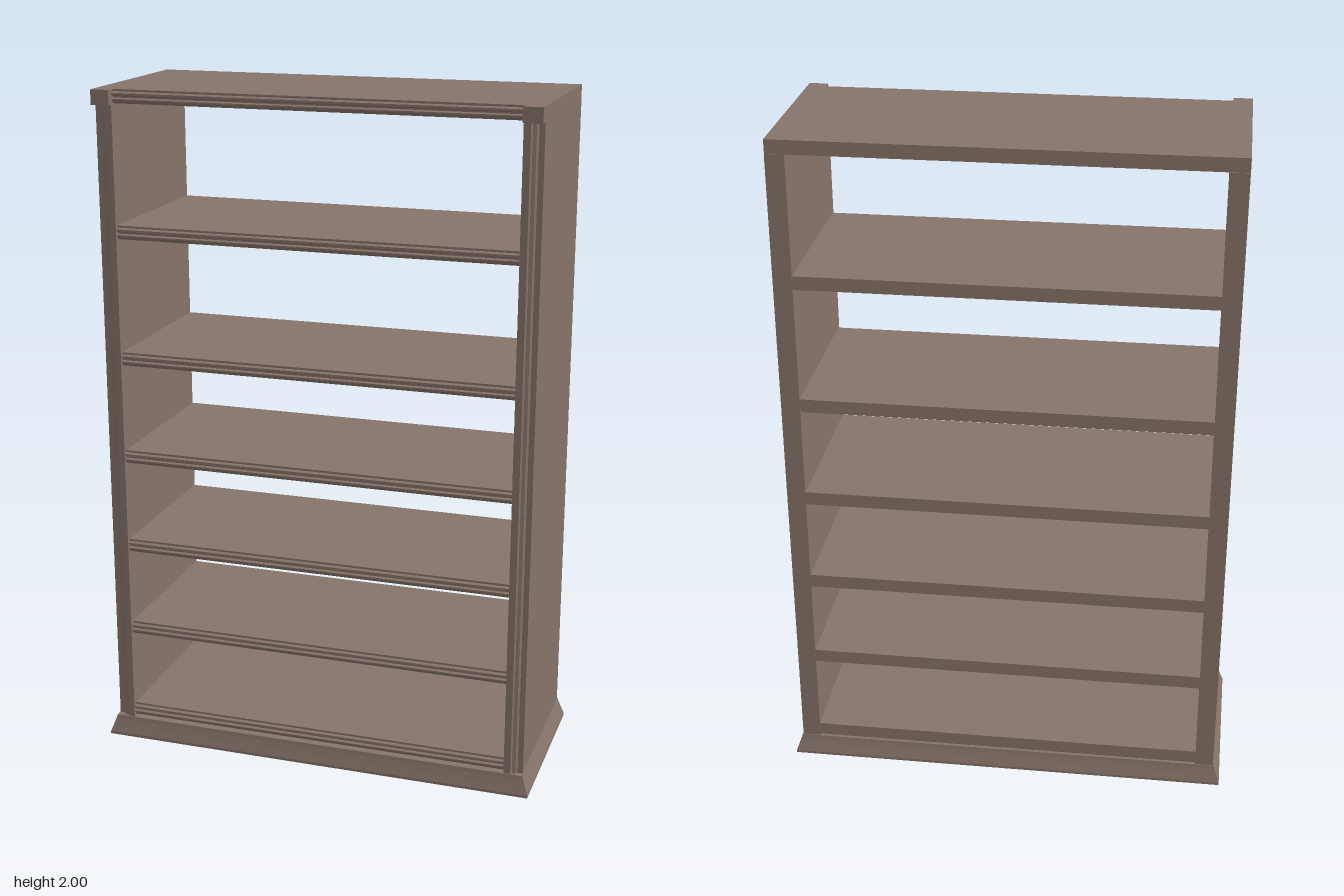
import * as THREE from 'three';

const wood = new THREE.MeshStandardMaterial({ color: 0x86746a });
wood.name = 'brown wood';

const OUT = 0.643; // outer half width
const IN = 0.588;  // inner half width, between the uprights

function add(group, name, geometry) {
  const mesh = new THREE.Mesh(geometry, wood);
  mesh.name = name;
  group.add(mesh);
  return mesh;
}

function box(group, name, x0, x1, y0, y1, z0, z1) {
  const mesh = add(group, name, new THREE.BoxGeometry(x1 - x0, y1 - y0, z1 - z0));
  mesh.position.set((x0 + x1) / 2, (y0 + y1) / 2, (z0 + z1) / 2);
  return mesh;
}

function extrude(points, depth) {
  const shape = new THREE.Shape(points.map(([a, b]) => new THREE.Vector2(a, b)));
  return new THREE.ExtrudeGeometry(shape, { depth, bevelEnabled: false });
}

// Board running along x, 0.04 thick, with a moulded front edge; profile is (z, y)
function shelfGeometry() {
  const profile = [
    [-0.262, 0], [0.25, 0], [0.257, 0.009], [0.257, 0.013], [0.25, 0.016],
    [0.25, 0.02], [0.26, 0.024], [0.26, 0.03], [0.252, 0.034], [0.252, 0.04], [-0.262, 0.04],
  ];
  const g = extrude(profile, 2 * IN + 0.004);
  g.rotateY(-Math.PI / 2);              // (z, y, depth) -> (-depth, y, z)
  g.translate(IN + 0.002, 0, 0);
  return g;
}

// Upright with a stepped front moulding falling towards the outside; profile is (x, -z)
function uprightGeometry(side) {
  let profile = [
    [IN, 0.264], [IN, -0.264], [0.608, -0.264], [0.612, -0.258], [0.622, -0.256],
    [0.627, -0.249], [OUT, -0.249], [OUT, 0.264],
  ].map(([x, y]) => [x * side, y]);
  const g = extrude(profile, 1.9);
  g.rotateX(-Math.PI / 2);
  g.translate(0, 0.06, 0);
  return g;
}

// Solid plinth flaring to the floor, from rectangular cross-sections
function plinthGeometry() {
  const rings = [[0, 0.664, 0.28], [0.008, 0.664, 0.28], [0.03, 0.656, 0.273], [0.05, 0.649, 0.268], [0.062, 0.645, 0.266]];
  const corner = ([y, w, d], i) => [[w, y, d], [w, y, -d], [-w, y, -d], [-w, y, d]][i % 4];
  const pos = [];
  const quad = (a, b, c, d) => pos.push(...a, ...b, ...c, ...a, ...c, ...d);
  for (let r = 0; r < rings.length - 1; r++) {
    for (let i = 0; i < 4; i++) {
      quad(corner(rings[r], i), corner(rings[r], i + 1), corner(rings[r + 1], i + 1), corner(rings[r + 1], i));
    }
  }
  const cap = (ring, order) => quad(...order.map((i) => corner(ring, i)));
  cap(rings[0], [3, 2, 1, 0]);
  cap(rings[rings.length - 1], [0, 1, 2, 3]);
  const g = new THREE.BufferGeometry();
  g.setAttribute('position', new THREE.Float32BufferAttribute(pos, 3));
  g.computeVertexNormals();
  return g;
}

export function createModel() {
  const model = new THREE.Group();
  model.name = 'bookcase';

  add(model, 'plinth', plinthGeometry());

  for (const side of [1, -1]) {
    const label = side > 0 ? 'left' : 'right';
    add(model, label + 'Upright', uprightGeometry(side));
    // Top end pieces stand proud of the front
    const xs = [side * IN, side * OUT].sort((a, b) => a - b);
    box(model, label + 'TopBlock', xs[0], xs[1], 1.957, 2, -0.262, 0.28);
  }

  // Shelves from bottom to top, then the moulded top board
  const shelf = shelfGeometry();
  [0.066, 0.342, 0.612, 0.895, 1.197, 1.573].forEach((y, i) => {
    add(model, 'shelf' + (i + 1), shelf).position.y = y;
  });
  add(model, 'topBoard', shelf).position.y = 1.96;

  return model;
}
